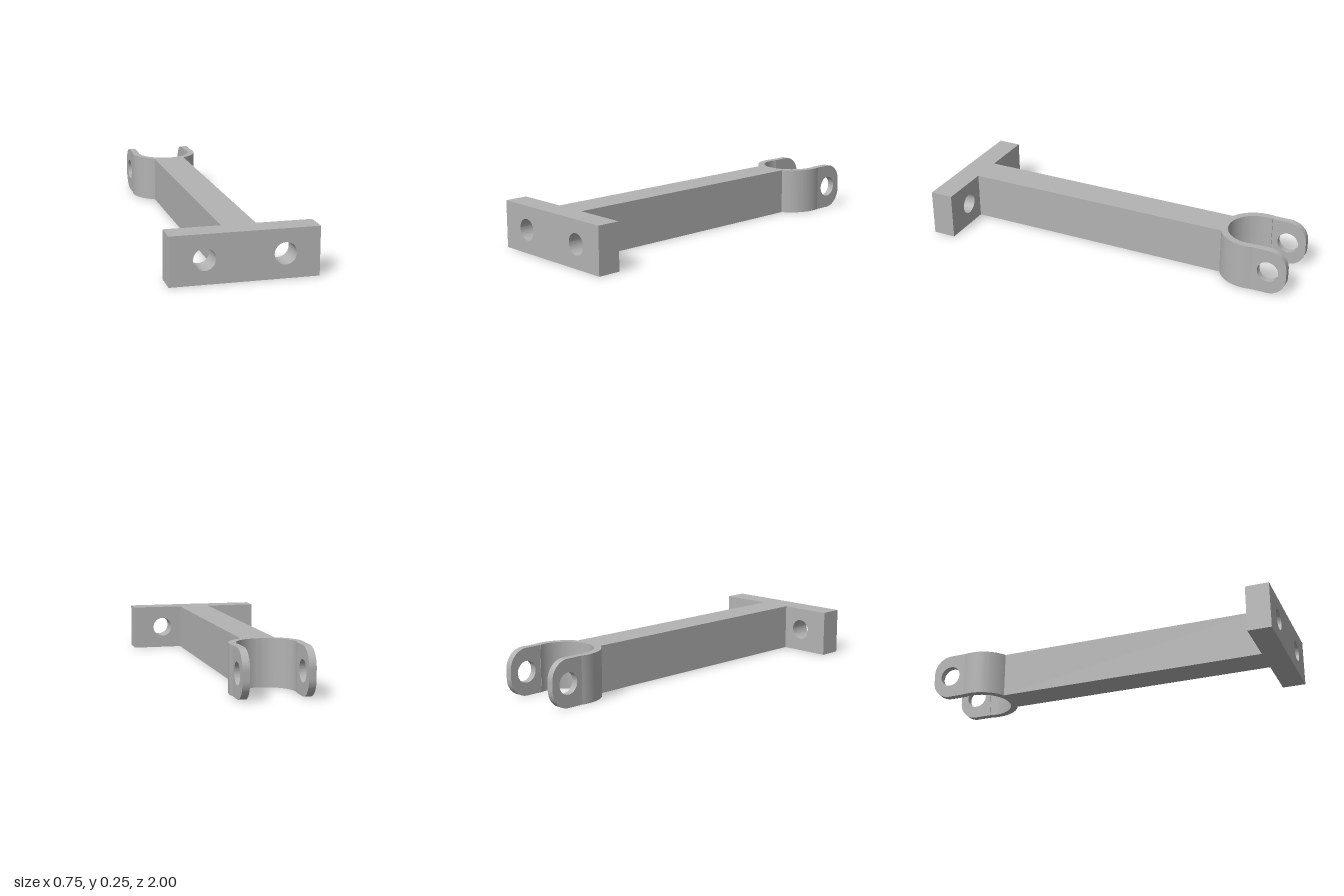
import * as THREE from 'three';
import { toCreasedNormals } from 'three/addons/utils/BufferGeometryUtils.js';

const H = 0.25; // common height of every part
const steel = new THREE.MeshStandardMaterial({ color: 0xb3b3b3 });
steel.name = 'grey steel';

function extrude(shape, depth) {
  const geo = new THREE.ExtrudeGeometry(shape, { depth, bevelEnabled: false, curveSegments: 32 });
  return toCreasedNormals(geo, 0.5);
}

function addHole(shape, x, y, r) {
  shape.holes.push(new THREE.Path().absarc(x, y, r, 0, Math.PI * 2, true));
}

export function createModel() {
  const group = new THREE.Group();
  group.name = 'clevisBracket';
  const add = (name, geo) => {
    const mesh = new THREE.Mesh(geo, steel);
    mesh.name = name;
    group.add(mesh);
  };

  // Mounting plate with two bolt holes
  const plate = new THREE.Shape();
  plate.moveTo(-0.374, 0).lineTo(0.374, 0).lineTo(0.374, H).lineTo(-0.374, H).closePath();
  for (const side of [-1, 1]) addHole(plate, side * 0.2, H / 2, 0.056);
  add('mountingPlate', extrude(plate, 0.125).translate(0, 0, 0.875));

  // Square-section bar, its far end buried in the fork wall
  const barFront = 0.875, barBack = -0.61;
  add('bar', new THREE.BoxGeometry(0.176, H, barFront - barBack)
    .translate(0, H / 2, (barFront + barBack) / 2));

  // Curved fork base, drawn in plan (shape y is -z) and extruded upward
  const outerR = 0.187, innerR = 0.15, centre = 0.77;
  const armStart = 0.81, armIn = 0.145, armOut = 0.182;
  const a = Math.acos(armOut / outerR), b = Math.acos(armIn / innerR);
  const cup = new THREE.Shape();
  cup.absarc(0, centre, outerR, Math.PI - a, Math.PI * 2 + a, false);
  cup.absarc(0, centre, innerR, Math.PI * 2 + b, Math.PI - b, true);
  cup.closePath();
  add('forkBase', extrude(cup, H).rotateX(-Math.PI / 2));

  // Rounded fork arms with pin holes, drawn in side profile
  const r = 0.1;
  const arm = new THREE.Shape();
  arm.moveTo(armStart, 0).lineTo(1 - r, 0);
  arm.absarc(1 - r, r, r, -Math.PI / 2, 0, false);
  arm.absarc(1 - r, H - r, r, 0, Math.PI / 2, false);
  arm.lineTo(armStart, H).closePath();
  addHole(arm, 0.9, H / 2, 0.057);
  const armGeo = extrude(arm, armOut - armIn).rotateY(Math.PI / 2);
  add('leftForkArm', armGeo.clone().translate(armIn, 0, 0));
  add('rightForkArm', armGeo.clone().translate(-armOut, 0, 0));

  return group;
}
